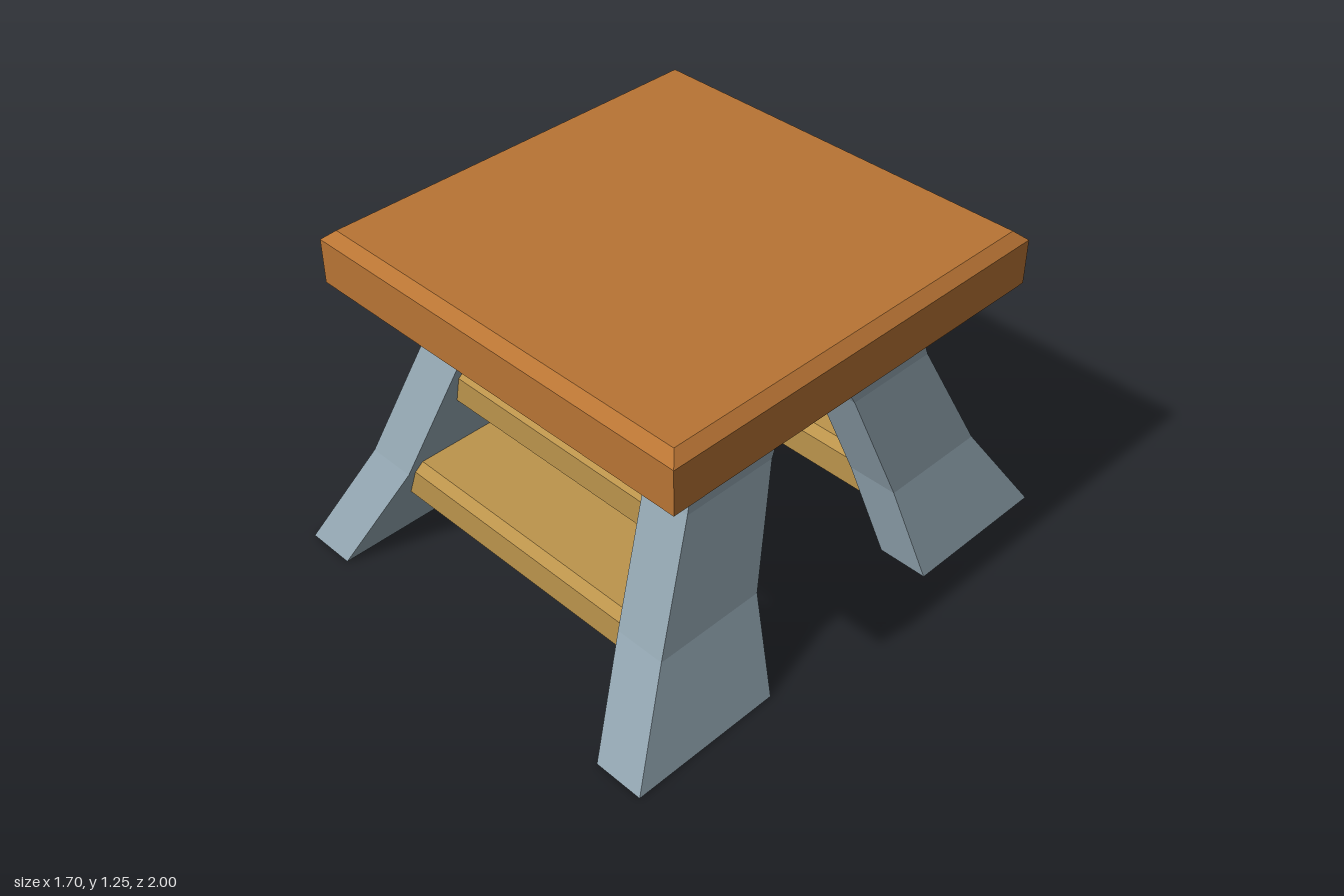
import * as THREE from 'three';

// Hard-edged solid lofted through rectangles [y, x0, x1, z0, z1], bottom to top.
// Group 0 holds the sides and top, group 1 the underside.
function loft(sections) {
  const rings = sections.map(([y, x0, x1, z0, z1]) => [[x0, y, z1], [x1, y, z1], [x1, y, z0], [x0, y, z0]]);
  const pos = [];
  const quad = (a, b, c, d) => pos.push(...a, ...b, ...c, ...a, ...c, ...d);
  for (let r = 0; r < rings.length - 1; r++) {
    for (let i = 0; i < 4; i++) {
      const j = (i + 1) % 4;
      quad(rings[r][i], rings[r][j], rings[r + 1][j], rings[r + 1][i]);
    }
  }
  quad(...rings[rings.length - 1]);
  const sideCount = pos.length / 3;
  quad(...[...rings[0]].reverse());
  const geometry = new THREE.BufferGeometry();
  geometry.setAttribute('position', new THREE.Float32BufferAttribute(pos, 3));
  geometry.addGroup(0, sideCount, 0);
  geometry.addGroup(sideCount, 6, 1);
  geometry.computeVertexNormals();
  return geometry;
}

// Same as loft, but placed in the quadrant given by the signs
function mirroredLoft(sections, sx, sz) {
  const range = (a, b, s) => (s > 0 ? [a, b] : [-b, -a]);
  return loft(sections.map(([y, x0, x1, z0, z1]) => [y, ...range(x0, x1, sx), ...range(z0, z1, sz)]));
}

function material(name, color) {
  const m = new THREE.MeshStandardMaterial({ color });
  m.name = name;
  return m;
}

export function createModel() {
  const model = new THREE.Group();
  model.name = 'stool';
  const seatWood = material('orange wood', 0xb87434);
  const underside = material('dark red underside', 0x963f3a);
  const legPaint = material('grey blue paint', 0x90a3ae);
  const rungWood = material('yellow wood', 0xbc944c);

  const add = (name, geometry, mats) => {
    const mesh = new THREE.Mesh(geometry, mats);
    mesh.name = name;
    model.add(mesh);
  };

  // Seat slab with chamfered rims
  const seatSection = (y, h) => [y, -h, h, -h, h];
  add('seat', loft([
    seatSection(1.01, 0.78), seatSection(1.045, 0.82),
    seatSection(1.215, 0.82), seatSection(1.25, 0.78),
  ]), [seatWood, underside]);

  // Four splayed legs, bending outwards towards the floor
  const legSections = [
    [0, 0.655, 0.85, 0.4, 1.0],
    [0.35, 0.53, 0.725, 0.345, 0.78],
    [0.78, 0.445, 0.638, 0.2, 0.58],
    [1.012, 0.42, 0.61, 0.075, 0.51],
  ];
  for (const sz of [1, -1]) {
    for (const sx of [1, -1]) {
      add(`${sz > 0 ? 'front' : 'back'}${sx > 0 ? 'Left' : 'Right'}Leg`,
        mirroredLoft(legSections, sx, sz), [legPaint, legPaint]);
    }
  }

  // Chamfered rungs between the legs, two at the front and two at the back
  const rungs = [
    { name: 'LowerRung', half: 0.62, y0: 0.21, y1: 0.38, z0: 0.38, z1: 0.75 },
    { name: 'UpperRung', half: 0.54, y0: 0.58, y1: 0.74, z0: 0.27, z1: 0.58 },
  ];
  for (const { name, half, y0, y1, z0, z1 } of rungs) {
    const c = 0.03;
    const sections = [
      [y0, -half, half, z0 + c, z1 - c],
      [y0 + 0.02, -half, half, z0, z1],
      [y1 - 0.035, -half, half, z0, z1],
      [y1, -half, half, z0 + c, z1 - c],
    ];
    for (const sz of [1, -1]) {
      add((sz > 0 ? 'front' : 'back') + name, mirroredLoft(sections, 1, sz), [rungWood, rungWood]);
    }
  }

  return model;
}
